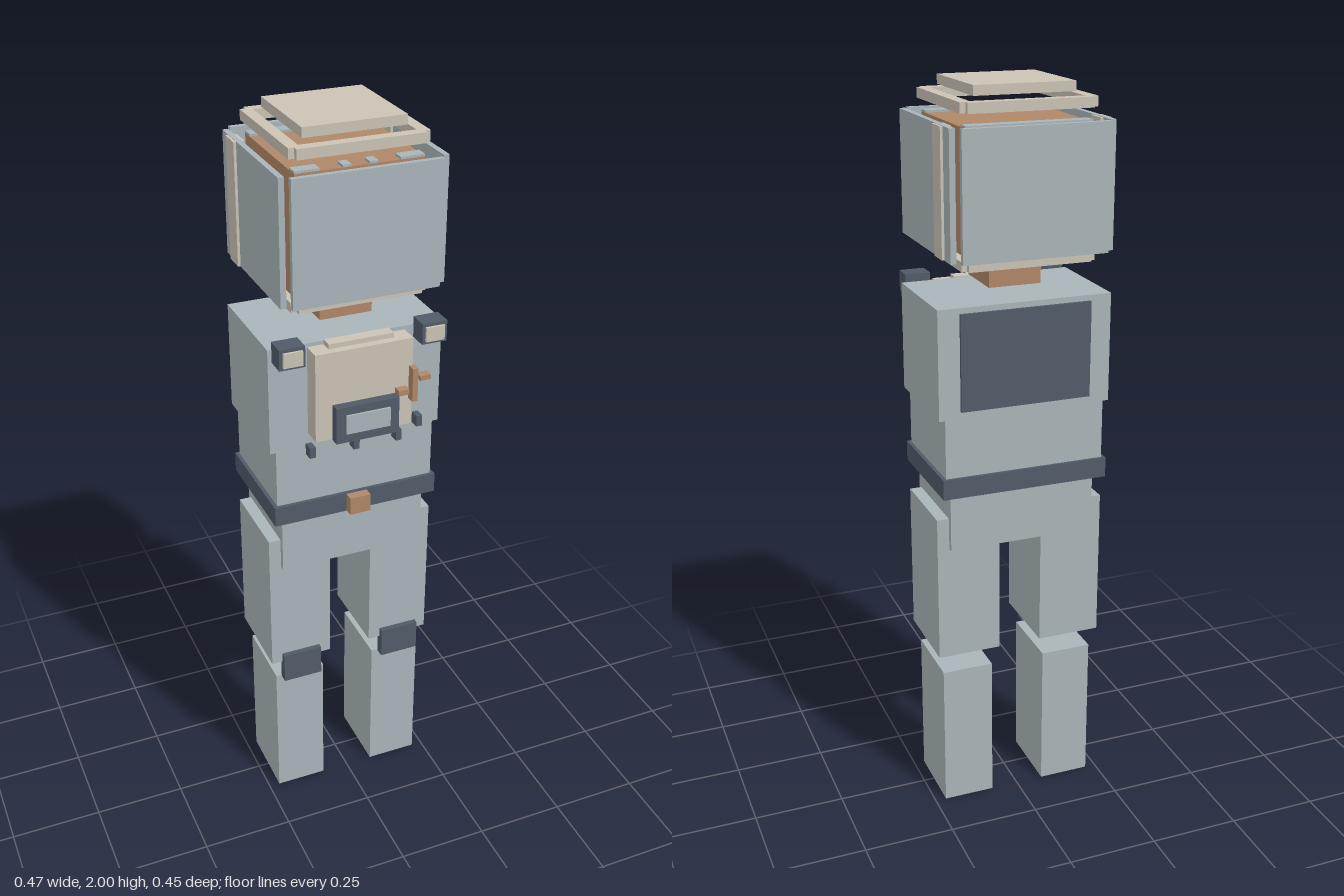
import * as THREE from 'three';

const material = (name, color) => {
  const m = new THREE.MeshStandardMaterial({ color });
  m.name = name;
  return m;
};

export function createModel() {
  const suit = material('blue grey', 0xa9b5b9);
  const cream = material('cream', 0xcac3b5);
  const dark = material('dark slate', 0x505b68);
  const copper = material('copper', 0xb08767);

  const model = new THREE.Group();
  model.name = 'spacesuitFigure';

  // Box given by its extents on each axis
  const box = (name, mat, [x0, x1], [y0, y1], [z0, z1], parent = model) => {
    const mesh = new THREE.Mesh(new THREE.BoxGeometry(x1 - x0, y1 - y0, z1 - z0), mat);
    mesh.position.set((x0 + x1) / 2, (y0 + y1) / 2, (z0 + z1) / 2);
    mesh.name = name;
    parent.add(mesh);
    return mesh;
  };
  // Same box on both sides; x extents are for the left (+x) side
  const pair = (name, mat, [x0, x1], y, z, parent = model) => {
    box(name + 'Left', mat, [x0, x1], y, z, parent);
    box(name + 'Right', mat, [-x1, -x0], y, z, parent);
  };

  // Legs
  pair('lowerLeg', suit, [0.077, 0.22], [0, 0.415], [-0.108, 0.094]);
  pair('thigh', suit, [0.06, 0.236], [0.475, 0.887], [-0.124, 0.109]);
  pair('kneePad', dark, [0.094, 0.205], [0.415, 0.503], [0.098, 0.124]);

  // Hips, belt and torso
  box('hips', suit, [-0.203, 0.203], [0.8, 0.965], [-0.14, 0.125]);
  box('belt', dark, [-0.23, 0.23], [0.96, 1.015], [-0.165, 0.148]);
  box('buckle', copper, [-0.029, 0.029], [0.963, 1.013], [0.14, 0.175]);
  box('waist', suit, [-0.22, 0.22], [1.01, 1.18], [-0.157, 0.138]);
  box('chest', suit, [-0.236, 0.236], [1.175, 1.467], [-0.157, 0.138]);
  box('backPanel', dark, [-0.178, 0.178], [1.195, 1.452], [-0.165, -0.155]);

  // Chest pack with display, lamps and connectors
  const pack = new THREE.Group();
  pack.name = 'chestPack';
  model.add(pack);
  box('packBody', cream, [-0.132, 0.132], [1.215, 1.457], [0.135, 0.191], pack);
  box('packTop', cream, [-0.088, 0.088], [1.455, 1.47], [0.138, 0.17], pack);
  box('display', dark, [-0.086, 0.086], [1.212, 1.312], [0.189, 0.216], pack);
  box('screen', suit, [-0.06, 0.06], [1.238, 1.29], [0.214, 0.222], pack);
  for (const [x, y] of [[-0.149, 1.2], [-0.029, 1.2], [0.088, 1.2], [0.145, 1.229]])
    box('connector', dark, [x - 0.008, x + 0.008], [y - 0.015, y + 0.015], [0.185, 0.213], pack);
  box('tube', copper, [0.122, 0.137], [1.29, 1.382], [0.19, 0.215], pack);
  box('tubeInner', copper, [0.085, 0.114], [1.313, 1.327], [0.19, 0.215], pack);
  box('tubeOuter', copper, [0.143, 0.173], [1.345, 1.358], [0.19, 0.215], pack);

  // Shoulder lamps
  pair('shoulderLamp', dark, [0.157, 0.225], [1.432, 1.488], [0.136, 0.19]);
  pair('lampLens', cream, [0.165, 0.216], [1.44, 1.479], [0.189, 0.197]);

  // Neck and inner head
  box('neck', copper, [-0.071, 0.071], [1.49, 1.6], [-0.081, 0.071]);
  const head = new THREE.Group();
  head.name = 'helmet';
  model.add(head);
  box('innerHead', copper, [-0.165, 0.165], [1.595, 1.905], [-0.177, 0.154], head);
  box('crownStripBack', suit, [-0.165, 0.165], [1.905, 1.911], [-0.177, -0.145], head);
  pair('crownStripFront', suit, [0.023, 0.045], [1.905, 1.911], [0.122, 0.154], head);
  pair('crownStripCorner', suit, [0.102, 0.165], [1.905, 1.911], [0.122, 0.154], head);

  // Outer shell plates and side bands
  const shellY = [1.59, 1.912];
  box('frontPlate', suit, [-0.192, 0.192], shellY, [0.19, 0.204], head);
  box('backPlate', suit, [-0.192, 0.192], shellY, [-0.227, -0.212], head);
  pair('sidePlate', suit, [0.2, 0.215], shellY, [-0.203, 0.182], head);
  pair('sideBand', cream, [0.193, 0.222], [1.591, 1.911], [-0.159, -0.101], head);

  // Open collar rings above and below, with stepped corners
  for (const [name, y] of [['lowerRing', [1.562, 1.587]], ['upperRing', [1.94, 1.966]]]) {
    const ring = new THREE.Group();
    ring.name = name;
    head.add(ring);
    pair('ringSide', cream, [0.148, 0.178], y, [-0.175, 0.152], ring);
    box('ringFront', cream, [-0.163, 0.163], y, [0.137, 0.166], ring);
    box('ringBack', cream, [-0.163, 0.163], y, [-0.189, -0.16], ring);
  }
  box('cap', cream, [-0.133, 0.133], [1.975, 2], [-0.145, 0.122], head);

  return model;
}
